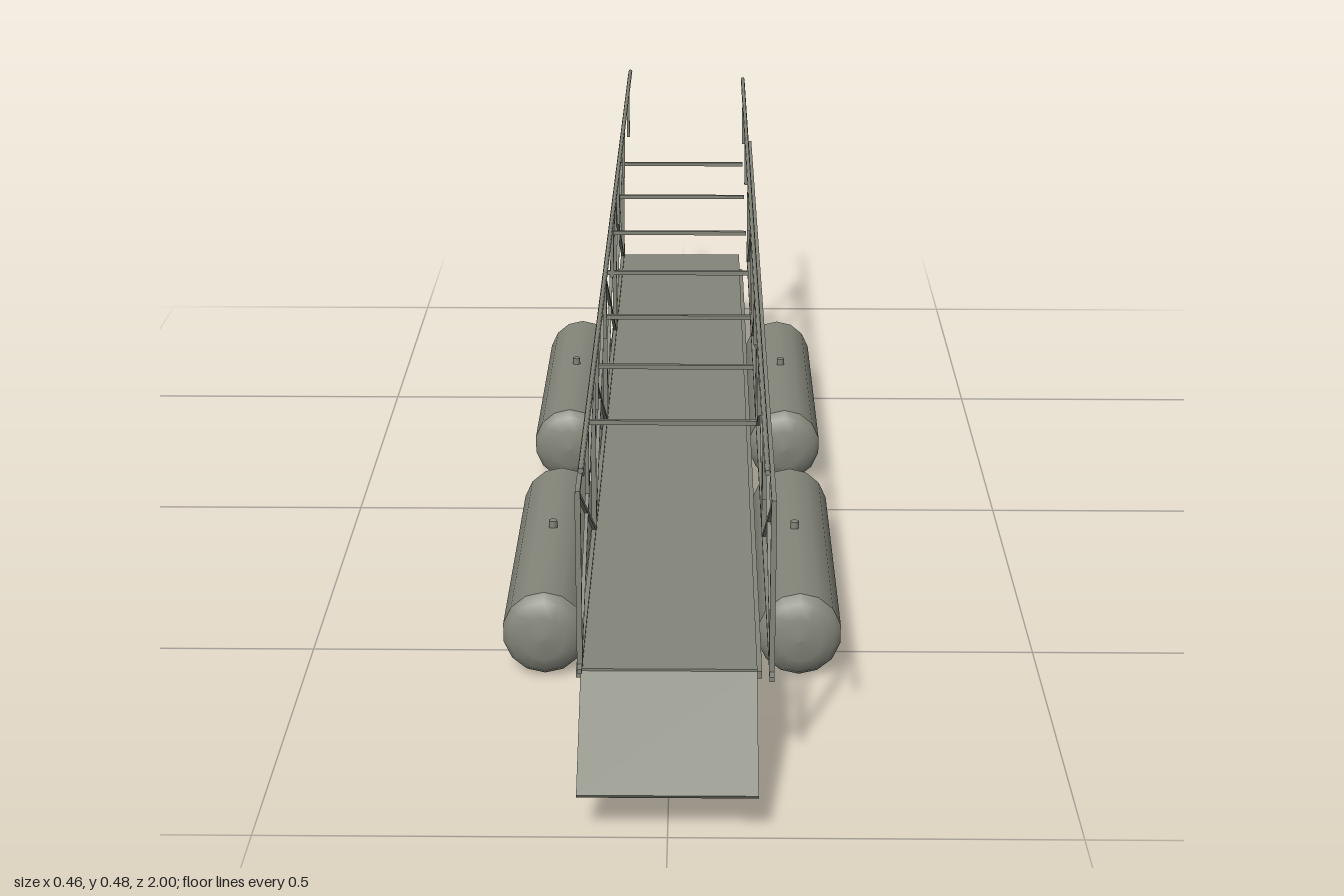
import * as THREE from 'three';

const material = new THREE.MeshStandardMaterial({ color: 0x85877b, side: THREE.DoubleSide });

function addBox(parent, name, size, pos) {
  const mesh = new THREE.Mesh(new THREE.BoxGeometry(...size), material);
  mesh.name = name;
  mesh.position.set(...pos);
  parent.add(mesh);
  return mesh;
}

// Thin square bar between two points
function addBar(parent, name, a, b, t = 0.005) {
  const start = new THREE.Vector3(...a), end = new THREE.Vector3(...b);
  const mesh = addBox(parent, name, [t, t, start.distanceTo(end)], [0, 0, 0]);
  mesh.position.copy(start).add(end).multiplyScalar(0.5);
  mesh.lookAt(end);
  return mesh;
}

// Side truss: chords, posts and crossed diagonals
function createTruss(name, x, bottom, top) {
  const truss = new THREE.Group();
  truss.name = name;
  const bay = 0.426;
  addBar(truss, 'topChord', [x, top, -0.855], [x, top, 0.855], 0.006);
  addBar(truss, 'bottomChord', [x, bottom + 0.003, -0.87], [x, bottom + 0.003, 0.87], 0.006);
  for (let i = -2; i <= 2; i++) {
    const z = i * bay;
    addBar(truss, 'trussPost', [x, bottom, z], [x, top, z], 0.007);
    if (i === 2) continue;
    addBar(truss, 'diagonal', [x, bottom, z], [x, top, z + bay]);
    addBar(truss, 'diagonal', [x, top, z], [x, bottom, z + bay]);
  }
  return truss;
}

// Handrail on seven short posts
function createHandrail(name, x, bottom, top, halfLength, spacing) {
  const rail = new THREE.Group();
  rail.name = name;
  const tube = new THREE.Mesh(new THREE.CylinderGeometry(0.0035, 0.0035, halfLength * 2, 8), material);
  tube.name = 'handrailTube';
  tube.rotation.x = Math.PI / 2;
  tube.position.set(x, top - 0.0035, 0);
  rail.add(tube);
  for (let i = -3; i <= 3; i++) {
    addBar(rail, 'handrailPost', [x, bottom, i * spacing], [x, top - 0.003, i * spacing]);
  }
  return rail;
}

// Long pontoon with shallow domed ends and a valve on top
function createFloat(name, x, z) {
  const float = new THREE.Group();
  float.name = name;
  const profile = [[0, -0.246], [0.03, -0.243], [0.05, -0.235], [0.059, -0.222], [0.059, -0.222],
    [0.059, 0.222], [0.059, 0.222], [0.05, 0.235], [0.03, 0.243], [0, 0.246]]
    .map(([r, h]) => new THREE.Vector2(r, h));
  const geometry = new THREE.LatheGeometry(profile, 14);
  geometry.rotateX(Math.PI / 2);
  geometry.scale(0.97, 1.02, 1);
  const body = new THREE.Mesh(geometry, material);
  body.name = 'floatBody';
  float.add(body);
  const valve = new THREE.Mesh(new THREE.CylinderGeometry(0.006, 0.006, 0.016, 8), material);
  valve.name = 'floatValve';
  valve.position.y = 0.062;
  float.add(valve);
  float.position.set(x, 0.06, z);
  return float;
}

export function createModel() {
  const model = new THREE.Group();
  model.name = 'floatingFootbridge';

  // Walkway and the beams along its edges
  addBox(model, 'deck', [0.218, 0.01, 1.72], [0, 0.149, 0]);
  for (const side of [-1, 1]) {
    addBox(model, 'edgeBeam', [0.006, 0.01, 1.64], [side * 0.112, 0.144, 0.035]);
  }

  // Sloping ramps at both ends
  for (const end of [-1, 1]) {
    const ramp = addBox(model, 'ramp', [0.218, 0.006, 0.171], [0, 0.102, end * 0.927]);
    ramp.rotation.x = end * Math.atan2(0.095, 0.14);
  }

  // Side trusses, the left one set slightly lower and further out
  model.add(createTruss('leftTruss', 0.127, 0.142, 0.374));
  model.add(createTruss('rightTruss', -0.11, 0.152, 0.385));
  model.add(createHandrail('leftHandrail', 0.115, 0.375, 0.468, 0.98, 0.281));
  model.add(createHandrail('rightHandrail', -0.098, 0.385, 0.478, 1, 0.284));

  // Overhead cross beams
  for (let i = -3; i <= 3; i++) {
    addBox(model, 'crossBeam', [0.22, 0.006, 0.006], [0, 0.392, i * 0.211]);
  }

  // Two floats on each side
  for (const side of [-1, 1]) {
    for (const end of [-1, 1]) {
      model.add(createFloat('float', side * 0.173, end * 0.346));
    }
  }
  return model;
}
